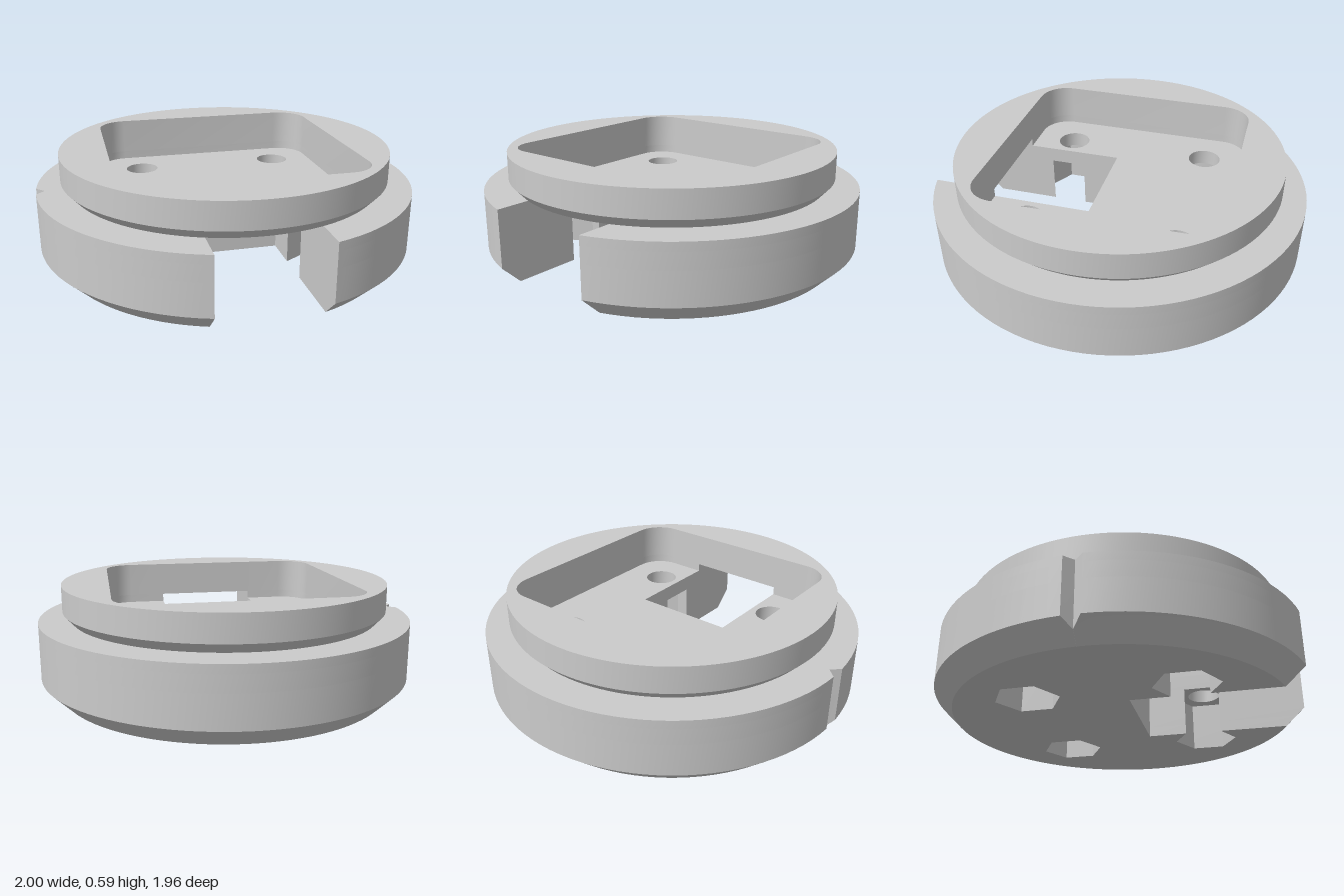
import * as THREE from 'three';
import { mergeGeometries, toCreasedNormals } from 'three/addons/utils/BufferGeometryUtils.js';

// Plan coordinates are [x, z]; every outline runs from +x towards +z.
const SLOT = 0.275, SLOT_BACK = 0.095, HOLE = 0.4, HOLE_R = 0.09, HEX_R = 0.17;
const POCKET = 0.625, CORNER = 0.15, NOTCH_TIP = 0.955;
const NECK = 0.827, RING = 0.873;
const Y = { chamfer: 0.1, hexTop: 0.27, floor: 0.355, shelf: 0.4, neck: 0.45, top: 0.59 };

const material = new THREE.MeshStandardMaterial({ color: 0xcccccc });

function arc(r, from, to, n, cx = 0, cz = 0) {
  return Array.from({ length: n + 1 }, (_, i) => {
    const t = from + (to - from) * i / n;
    return [cx + r * Math.cos(t), cz + r * Math.sin(t)];
  });
}
const circle = (r, n, cx = 0, cz = 0, start = 0) =>
  arc(r, start, start + Math.PI * 2, n, cx, cz).slice(0, -1);
const reversed = (pts) => [...pts].reverse();
const mirrored = (pts) => reversed(pts).map(([x, z]) => [-x, z]);

function geometryFrom(positions) {
  const g = new THREE.BufferGeometry();
  g.setAttribute('position', new THREE.Float32BufferAttribute(positions, 3));
  return g;
}

// Flat horizontal face, seen from above (up) or from below
function cap(outline, holes, y, up) {
  const shape = new THREE.Shape(outline.map((p) => new THREE.Vector2(...p)));
  shape.holes = holes.map((h) => new THREE.Path(h.map((p) => new THREE.Vector2(...p))));
  const flat = new THREE.ShapeGeometry(shape).toNonIndexed().attributes.position;
  const out = [];
  for (let i = 0; i < flat.count; i += 3)
    for (const k of up ? [0, 2, 1] : [0, 1, 2]) out.push(flat.getX(i + k), y, flat.getY(i + k));
  return geometryFrom(out);
}

// Closed wall through a stack of [outline, y] levels
function wall(...levels) {
  const out = [];
  for (let l = 0; l + 1 < levels.length; l++) {
    const [low, y0] = levels[l], [high, y1] = levels[l + 1];
    for (let i = 0; i < low.length; i++) {
      const j = (i + 1) % low.length;
      const a = [low[i][0], y0, low[i][1]], b = [low[j][0], y0, low[j][1]];
      const c = [high[j][0], y1, high[j][1]], d = [high[i][0], y1, high[i][1]];
      out.push(...a, ...d, ...b, ...b, ...d, ...c);
    }
  }
  return geometryFrom(out);
}

// Round outside from one slot edge to the other, with the small side notch
function outside(r) {
  const n = Math.max(0.0005, r - NOTCH_TIP), d = Math.asin(n / r);
  const edge = Math.acos(SLOT / r);
  return [
    ...arc(r, Math.PI - edge, Math.PI - d, 20), [-(r - n), 0],
    ...arc(r, Math.PI + d, Math.PI * 2 + edge, 72),
  ];
}

// Half hexagon recess that breaks through the slot wall
const cutZ = HEX_R - (HOLE - SLOT) * Math.tan(Math.PI / 6);
const flatX = HEX_R * Math.cos(Math.PI / 6);
const openHex = [
  [SLOT, HOLE + cutZ], [HOLE, HOLE + HEX_R], [HOLE + flatX, HOLE + HEX_R / 2],
  [HOLE + flatX, HOLE - HEX_R / 2], [HOLE, HOLE - HEX_R], [SLOT, HOLE - cutZ],
];
const slotBack = [[SLOT, SLOT_BACK], [-SLOT, SLOT_BACK]];
const lowerOutline = (r) => [...outside(r), ...openHex, ...slotBack, ...mirrored(openHex)];

// Rounded square pocket, starting and ending at the slot edges
const inner = POCKET - CORNER;
const pocket = [
  [-SLOT, POCKET],
  ...[[-1, 1], [-1, -1], [1, -1], [1, 1]].flatMap(([sx, sz], i) =>
    arc(CORNER, (i + 1) * Math.PI / 2, (i + 2) * Math.PI / 2, 10, sx * inner, sz * inner)),
  [SLOT, POCKET],
];

export function createModel() {
  const group = new THREE.Group();
  const add = (name, parts) => {
    const mesh = new THREE.Mesh(toCreasedNormals(mergeGeometries(parts), 0.5), material);
    mesh.name = name;
    mesh.position.z = 0.02;
    group.add(mesh);
  };

  const centres = [[HOLE, HOLE], [-HOLE, HOLE], [HOLE, -HOLE], [-HOLE, -HOLE]];
  const roundHoles = centres.map(([x, z]) => circle(HOLE_R, 40, x, z));
  const backHexes = centres.slice(2).map(([x, z]) => circle(HEX_R, 6, x, z, Math.PI / 2));

  // Chamfered base with slot, notch and hexagonal recesses underneath
  const hexes = [openHex, mirrored(openHex), ...backHexes];
  add('base', [
    cap(lowerOutline(0.9), backHexes, 0, false),
    wall([lowerOutline(0.9), 0], [lowerOutline(NOTCH_TIP), NOTCH_TIP - 0.9],
      [lowerOutline(1), Y.chamfer], [lowerOutline(1), Y.hexTop]),
    ...backHexes.map((h) => wall([reversed(h), 0], [reversed(h), Y.hexTop])),
    ...hexes.map((h, i) => cap(h, [roundHoles[i]], Y.hexTop, false)),
  ]);

  // Pocket floor with four screw holes
  const floorOutline = [...outside(1), ...slotBack];
  add('pocketFloor', [
    wall([floorOutline, Y.hexTop], [floorOutline, Y.floor]),
    ...roundHoles.map((h) => wall([reversed(h), Y.hexTop], [reversed(h), Y.floor])),
    cap([...pocket, ...slotBack], roundHoles, Y.floor, true),
  ]);

  // Shoulder around the pocket, open at the slot
  const shoulder = [...outside(1), ...reversed(pocket)];
  const edge = Math.acos(SLOT / NECK);
  const neckArc = arc(NECK, Math.PI - edge, Math.PI * 2 + edge, 96);
  add('shoulder', [
    wall([shoulder, Y.floor], [shoulder, Y.shelf]),
    cap([...outside(1), ...reversed(neckArc)], [], Y.shelf, true),
  ]);

  // Upper ring with undercut neck, bridging the slot
  const bridge = [[-SLOT, POCKET], [SLOT, POCKET], ...arc(NECK, edge, Math.PI - edge, 16)];
  const ring = circle(RING, 120);
  add('upperRing', [
    wall([circle(NECK, 120), Y.shelf], [ring, Y.neck], [ring, Y.top]),
    wall([reversed(pocket), Y.shelf], [reversed(pocket), Y.top]),
    cap(ring, [pocket], Y.top, true),
    cap(bridge, [], Y.shelf, false),
  ]);

  return group;
}
